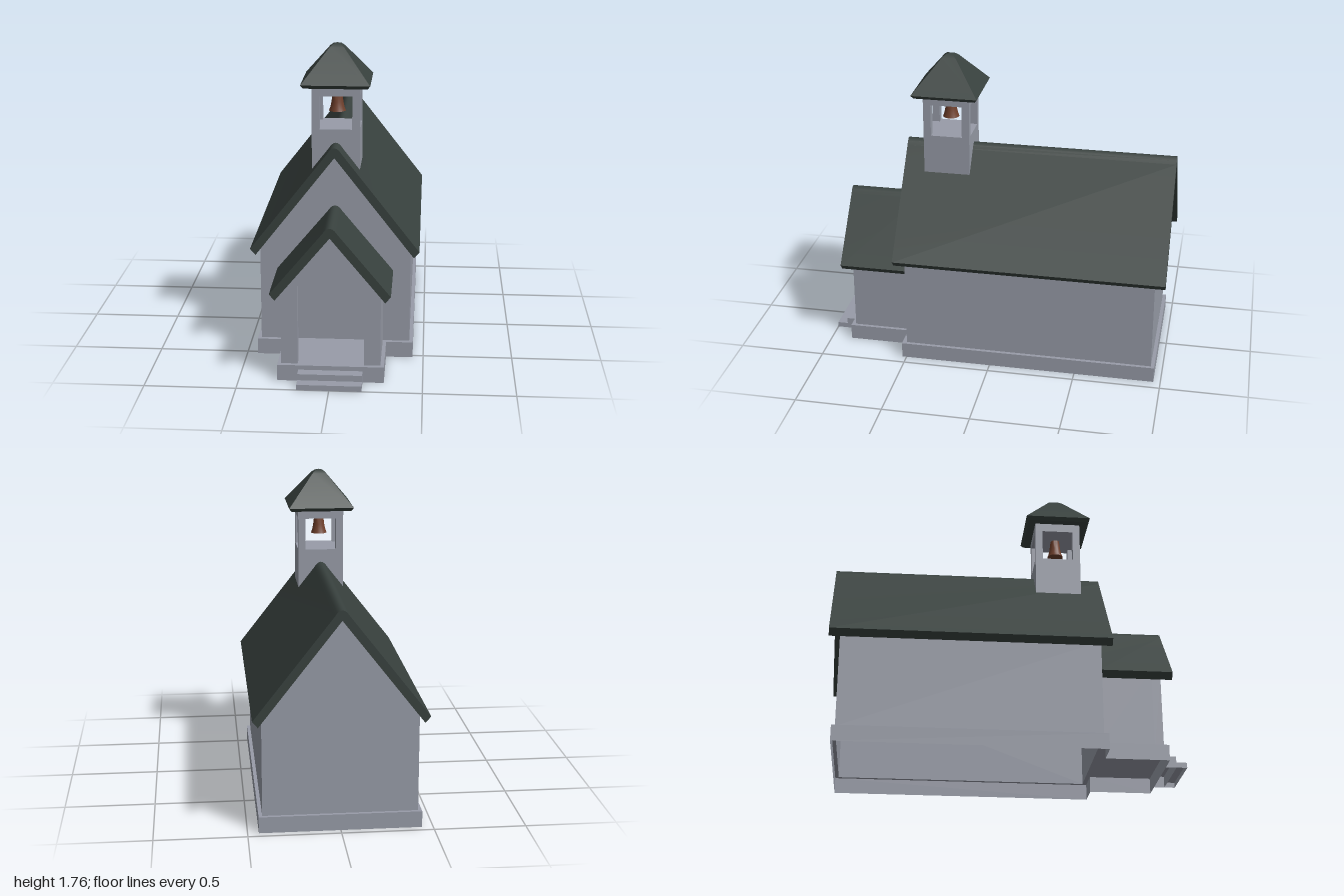
import * as THREE from 'three';
import { toCreasedNormals } from 'three/addons/utils/BufferGeometryUtils.js';

export function createModel() {
  const model = new THREE.Group();
  model.name = 'chapel';

  const material = (name, color, side = THREE.FrontSide) => {
    const m = new THREE.MeshStandardMaterial({ color, side });
    m.name = name;
    return m;
  };
  const stone = material('grey stone', 0x989ca8, THREE.DoubleSide);
  const slate = material('dark green slate', 0x38413e);
  const bronze = material('bronze', 0x70402c, THREE.DoubleSide);

  const add = (name, geometry, mat, x = 0, y = 0, z = 0, parent = model) => {
    const mesh = new THREE.Mesh(geometry, mat);
    mesh.name = name;
    mesh.position.set(x, y, z);
    parent.add(mesh);
    return mesh;
  };
  const group = (name) => {
    const g = new THREE.Group();
    g.name = name;
    model.add(g);
    return g;
  };
  const shapeOf = (pts) => new THREE.Shape(pts.map(([x, y]) => new THREE.Vector2(x, y)));
  const extrude = (shape, depth) =>
    new THREE.ExtrudeGeometry(shape, { depth, bevelEnabled: false, curveSegments: 6 });

  // Open-bottomed platform: outline in (x, z), with vertical skirts and a flat top
  function platform(name, outline, height, hole) {
    const g = group(name);
    const shape = shapeOf(outline.map(([x, z]) => [x, -z]));
    if (hole) shape.holes.push(new THREE.Path(hole.map(([x, z]) => new THREE.Vector2(x, -z))));
    add(name + 'Top', new THREE.ShapeGeometry(shape).rotateX(-Math.PI / 2), stone, 0, height, 0, g);
    outline.forEach(([x, z], i) => {
      const [x2, z2] = outline[(i + 1) % outline.length];
      const skirt = new THREE.PlaneGeometry(Math.hypot(x2 - x, z2 - z), height);
      const mesh = add(name + 'Skirt', skirt, stone, (x + x2) / 2, height / 2, (z + z2) / 2, g);
      // outline runs so that the outside is at (-dz, dx)
      mesh.rotation.y = Math.atan2(-(z2 - z), x2 - x);
    });
  }
  const rect = (w, back, front) => [[-w, front], [w, front], [w, back], [-w, back]];

  // Plinth under nave and porch, and the two steps
  platform('plinth', [
    [-0.44, 0.525], [-0.29, 0.525], [-0.29, 0.88], [0.29, 0.88],
    [0.29, 0.525], [0.44, 0.525], [0.44, -0.96], [-0.44, -0.96],
  ], 0.09, rect(0.42, -0.94, 0.5));
  platform('upperStep', rect(0.175, 0.88, 0.94), 0.065);
  platform('lowerStep', rect(0.175, 0.94, 1.0), 0.03);

  // Nave walls: thin shell, open inside
  const nave = group('naveWalls');
  const gable = new THREE.ShapeGeometry(shapeOf(
    [[-0.42, 0.09], [0.42, 0.09], [0.42, 0.64], [0, 1.18], [-0.42, 0.64]]));
  add('frontGable', gable, stone, 0, 0, 0.5, nave);
  add('backGable', gable.clone().rotateY(Math.PI), stone, 0, 0, -0.94, nave);
  for (const s of [-1, 1]) {
    const wall = new THREE.PlaneGeometry(1.44, 0.55).rotateY(s * Math.PI / 2);
    add(s > 0 ? 'leftWall' : 'rightWall', wall, stone, s * 0.42, 0.365, -0.22, nave);
  }

  // Porch: gabled front with a doorway, and two side walls
  const porch = group('porch');
  add('porchFront', extrude(shapeOf([
    [-0.27, 0.09], [-0.18, 0.09], [-0.18, 0.54], [0.18, 0.54], [0.18, 0.09],
    [0.27, 0.09], [0.27, 0.515], [0, 0.84], [-0.27, 0.515],
  ]), 0.05), stone, 0, 0, 0.805, porch);
  for (const s of [-1, 1]) {
    add('porchSide', new THREE.BoxGeometry(0.035, 0.45, 0.305), stone, s * 0.2525, 0.315, 0.6525, porch);
  }

  // Chevron roofs with a softly rounded ridge
  function roof(name, eave, lip, innerApex, back, front) {
    const [ex, ey] = eave, [lx, ly] = lip;
    const slope = (innerApex - ly) / lx;
    const r = 0.04, apex = ey + slope * ex;
    const shape = new THREE.Shape();
    shape.moveTo(0, innerApex);
    shape.lineTo(-lx, ly);
    shape.lineTo(-ex, ey);
    shape.lineTo(-r, apex - slope * r);
    shape.quadraticCurveTo(0, apex + slope * r * 0.3, r, apex - slope * r);
    shape.lineTo(ex, ey);
    shape.lineTo(lx, ly);
    shape.closePath();
    add(name, toCreasedNormals(extrude(shape, front - back), 0.7), slate, 0, 0, back);
  }
  roof('naveRoof', [0.47, 0.64], [0.44, 0.605], 1.17, -1.0, 0.56);
  roof('porchRoof', [0.325, 0.51], [0.295, 0.475], 0.83, 0.5, 0.915);

  // Bell tower straddling the ridge
  const tower = group('bellTower');
  tower.position.z = 0.305;
  add('towerBase', extrude(shapeOf(
    [[-0.133, 1.04], [0, 1.2], [0.133, 1.04], [0.133, 1.3], [-0.133, 1.3]]), 0.266),
  stone, 0, 0, -0.133, tower);
  for (const x of [-1, 1]) for (const z of [-1, 1]) {
    add('towerPost', new THREE.BoxGeometry(0.043, 0.185, 0.043), stone, x * 0.1115, 1.3925, z * 0.1115, tower);
  }
  add('towerLintel', new THREE.BoxGeometry(0.266, 0.06, 0.266), stone, 0, 1.515, 0, tower);

  // Pyramid cap with bevelled eave and blunt tip
  const cap = [[0, 1.535], [0.175, 1.535], [0.19, 1.555], [0.04, 1.738], [0.022, 1.753], [0, 1.76]]
    .map(([x, y]) => new THREE.Vector2(x * Math.SQRT2, y));
  add('towerRoof', toCreasedNormals(new THREE.LatheGeometry(cap, 4, Math.PI / 4), 0.4), slate, 0, 0, 0, tower);

  // Bell
  const bell = [[0, 1.378], [0.047, 1.378], [0.039, 1.4], [0.033, 1.43], [0.028, 1.47], [0.026, 1.486]]
    .map(([x, y]) => new THREE.Vector2(x, y));
  add('bell', toCreasedNormals(new THREE.LatheGeometry(bell, 20), 0.7), bronze, 0, 0, 0, tower);

  return model;
}
